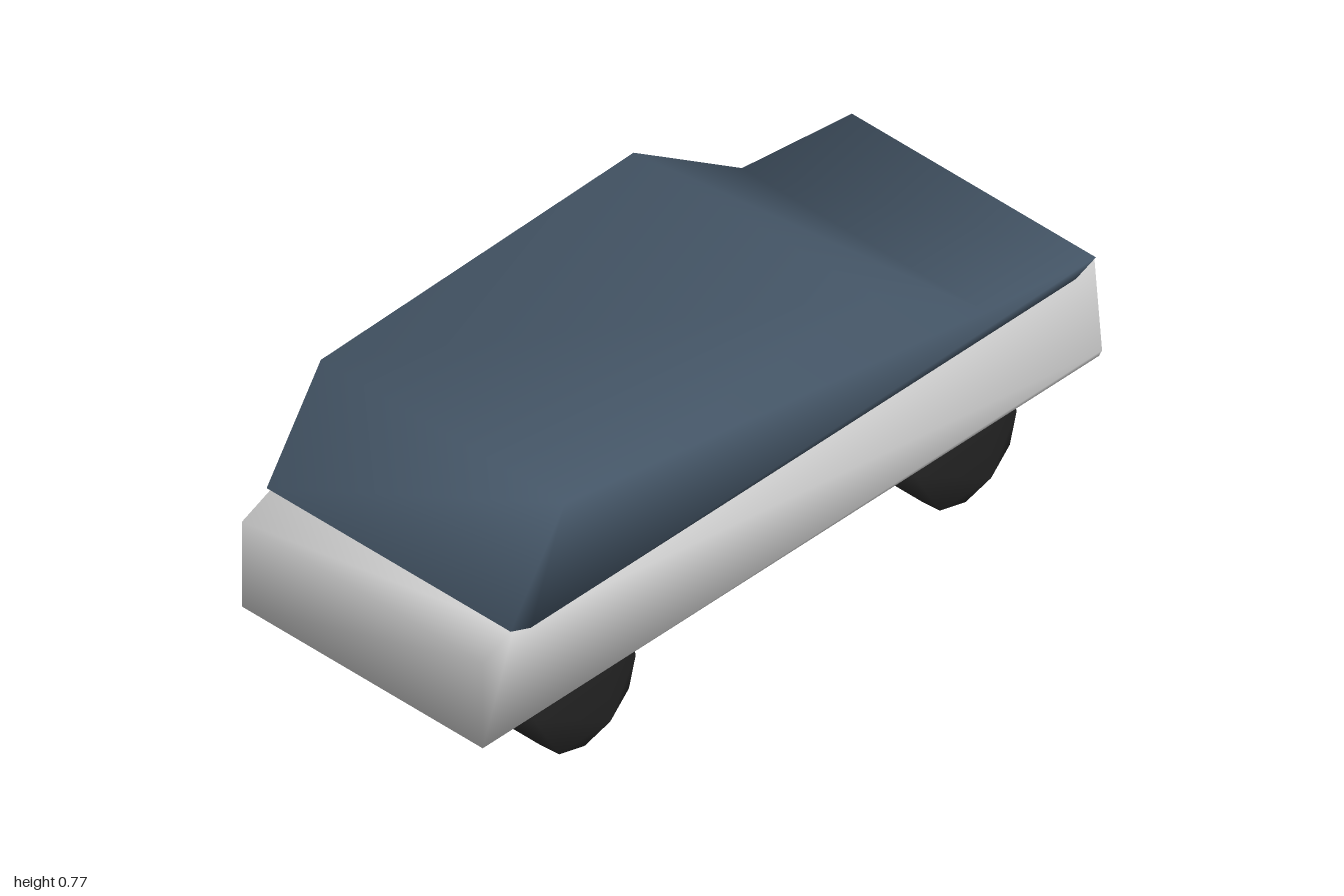
import * as THREE from 'three';
import { mergeVertices } from 'three/addons/utils/BufferGeometryUtils.js';

// Side profile extruded across z, with corners welded for soft low-poly shading
function slab(name, points, z0, z1, color) {
  const shape = new THREE.Shape(points.map(([x, y]) => new THREE.Vector2(x, y)));
  let geo = new THREE.ExtrudeGeometry(shape, { depth: z1 - z0, bevelEnabled: false });
  geo.translate(0, 0, z0);
  geo.deleteAttribute('uv');
  geo.deleteAttribute('normal');
  geo = mergeVertices(geo);
  geo.computeVertexNormals();
  const mesh = new THREE.Mesh(geo, new THREE.MeshStandardMaterial({ color }));
  mesh.name = name;
  return mesh;
}

export function createModel() {
  const car = new THREE.Group();
  car.name = 'car';

  // Lower body
  car.add(slab('body', [
    [-1, 0.2], [0.99, 0.195], [1, 0.205], [0.975, 0.482], [-0.9, 0.482], [-1, 0.44],
  ], -0.373, 0.373, 0xcccccc));

  // Cabin and bonnet
  car.add(slab('cabin', [
    [-0.85, 0.46], [0.91, 0.46], [0.975, 0.485], [0.62, 0.53],
    [0.27, 0.77], [-0.74, 0.75], [-0.915, 0.485],
  ], -0.378, 0.378, 0x445566));

  // Four twelve-sided wheels
  const r = 0.165;
  for (const x of [-0.65, 0.58]) {
    const rim = Array.from({ length: 12 }, (_, i) => {
      const a = (i * Math.PI) / 6;
      return [x + r * Math.cos(a), r + r * Math.sin(a)];
    });
    for (const [z0, z1] of [[0.265, 0.353], [-0.353, -0.265]]) {
      car.add(slab(`${x > 0 ? 'front' : 'rear'}Wheel${z0 > 0 ? 'Near' : 'Far'}`, rim, z0, z1, 0x222222));
    }
  }
  return car;
}
